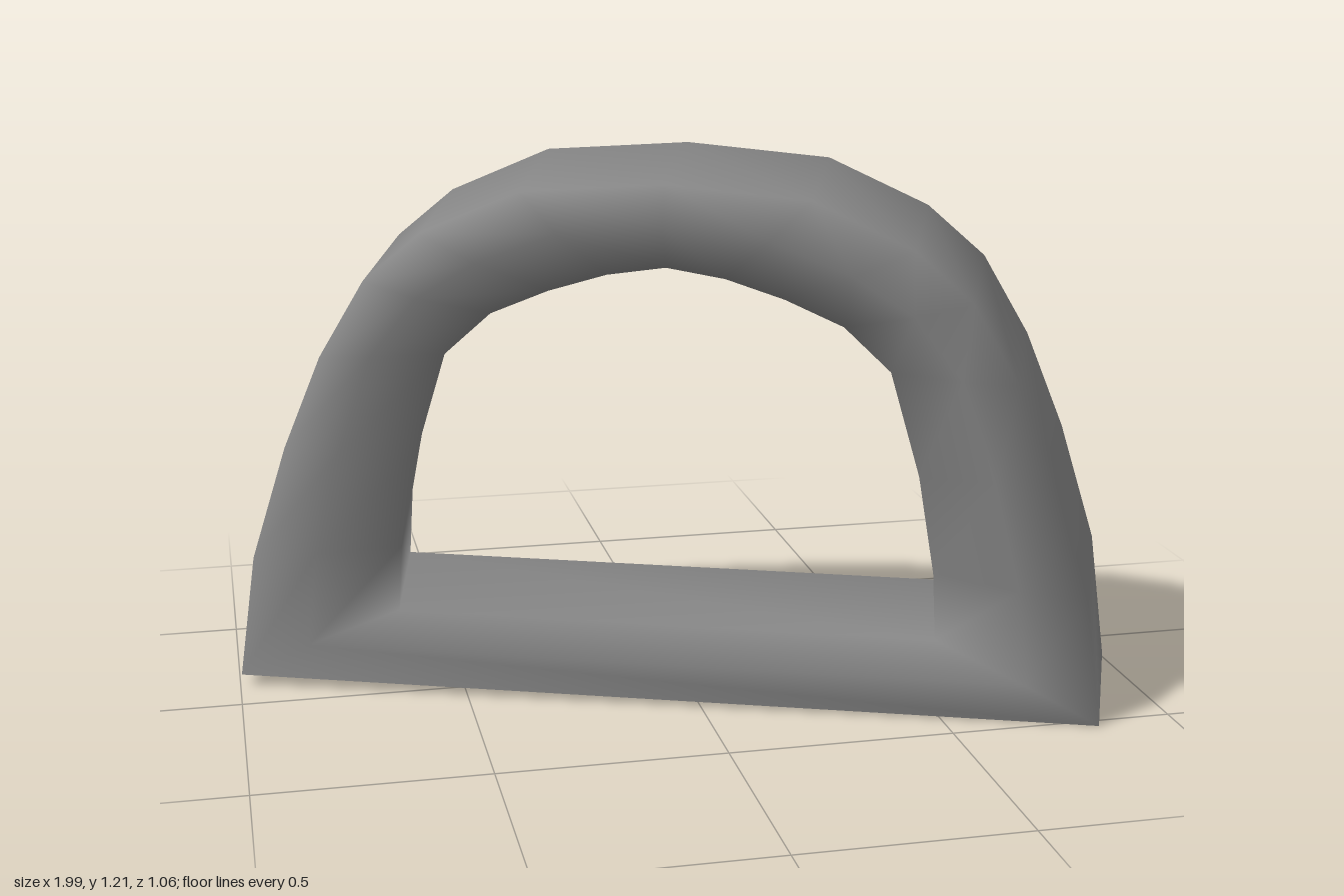
import * as THREE from 'three';

// Half profiles [x, y] from the base corner up to the crown
const outer = [[0.997, 0.02], [0.955, 0.31], [0.87, 0.575], [0.78, 0.79], [0.675, 0.965], [0.545, 1.075], [0.32, 1.175], [0, 1.2]];
const inner = [[0.615, 0.185], [0.605, 0.34], [0.565, 0.56], [0.495, 0.79], [0.39, 0.885], [0.26, 0.94], [0.13, 0.98], [0, 1.0]];

// Full arch from right base corner over the crown to the left one
const mirror = (p) => [...p, ...p.slice(0, -1).reverse().map(([x, y]) => [-x, y])];

// Mitred loop: each station is a six-sided section between outer and inner profile
function ringGeometry() {
  const out = mirror(outer), inn = mirror(inner);
  const positions = [], index = [];
  const stations = out.length, sides = 6;
  out.forEach(([ox, oy], i) => {
    const [ix, iy] = inn[i];
    const rise = oy / 1.2;
    const mx = (ox + ix) / 2, my = (oy + iy) / 2;
    const back = -0.205 + 0.025 * rise;
    positions.push(
      ox, oy + 0.01 * rise, back,                    // outer back
      ox * 0.97, oy - 0.015 * rise, 0.22,            // outer front
      mx, my, 0.22 + 0.03 * rise,                    // front bulge
      ix * 0.98, iy, 0.185,                          // inner front
      ix * 1.09, iy + 0.035 * rise, back + 0.01,     // inner back
      mx * 1.02, my + 0.01 * rise, back - 0.005,     // back middle
    );
  });
  const quad = (a, b, c, d) => index.push(a, b, d, b, c, d);
  for (let i = 0; i < stations; i++) {
    const n = (i + 1) % stations;                    // last span is the straight bar
    for (let s = 0; s < sides; s++) {
      const t = (s + 1) % sides;
      const corners = [i * sides + s, n * sides + s, n * sides + t, i * sides + t];
      if (n === 0 && s === 0) {
        // Flat underside with its own corners, so its edges stay sharp
        const first = positions.length / 3;
        corners.forEach((k) => positions.push(...positions.slice(k * 3, k * 3 + 3)));
        quad(first, first + 1, first + 2, first + 3);
      } else quad(...corners);
    }
  }
  const g = new THREE.BufferGeometry();
  g.setAttribute('position', new THREE.Float32BufferAttribute(positions, 3));
  g.setIndex(index);
  g.computeVertexNormals();
  return g;
}

export function createModel() {
  const model = new THREE.Group();
  model.name = 'dRing';
  const ring = new THREE.Mesh(ringGeometry(), new THREE.MeshStandardMaterial({ color: 0x868686 }));
  ring.name = 'archedRing';
  // Turned to the side, with a slight lean
  ring.rotation.set(0.03, -0.344, -0.013, 'YXZ');
  model.add(ring);
  // Stand on the ground, centred
  model.updateMatrixWorld(true);
  const box = new THREE.Box3().setFromObject(model, true);
  const c = box.getCenter(new THREE.Vector3());
  ring.position.set(-c.x, -box.min.y, -c.z);
  return model;
}
